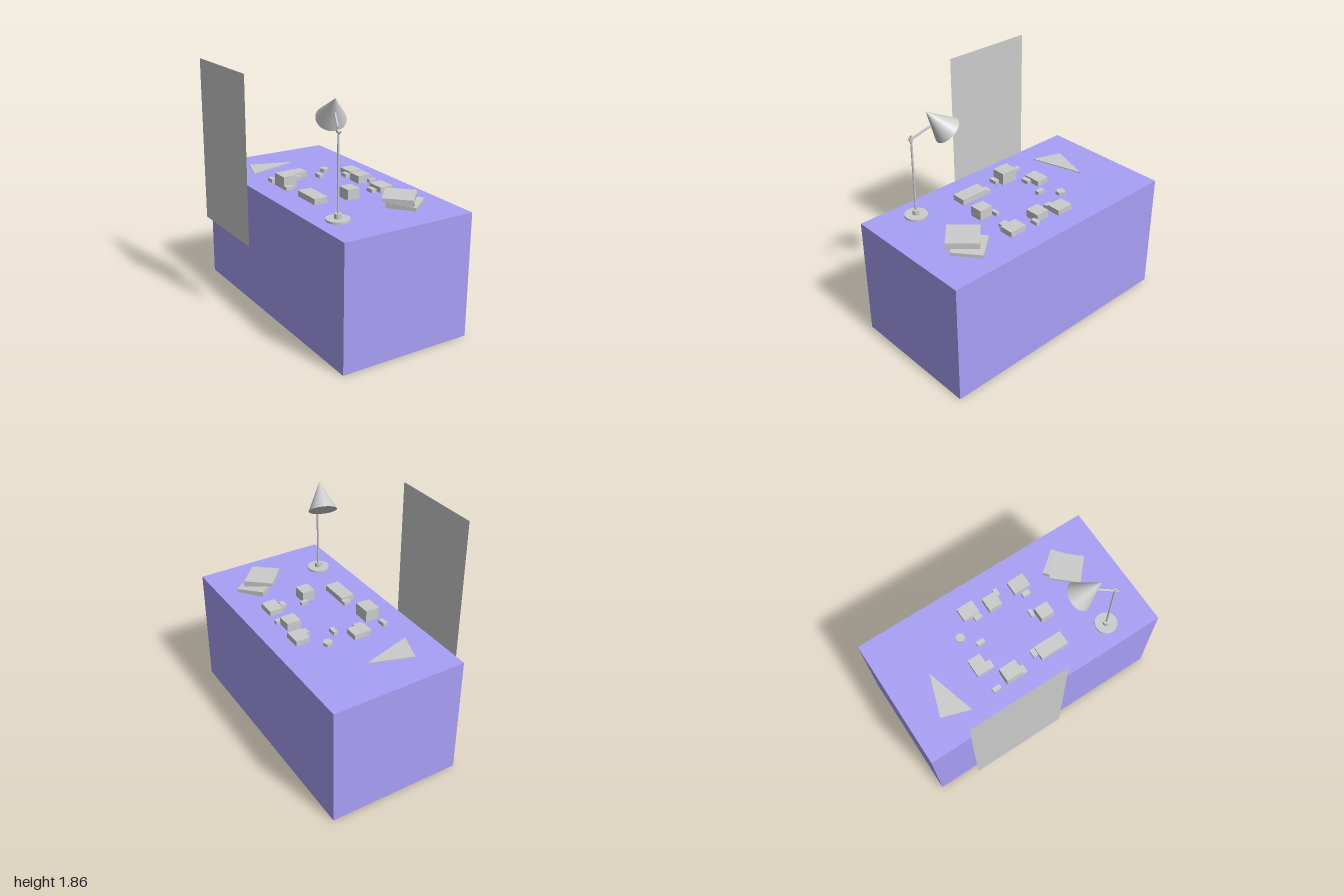
import * as THREE from 'three';

const TOP = 0.945; // table surface height

export function createModel() {
  const model = new THREE.Group();
  const grey = new THREE.MeshStandardMaterial({ color: 0xcccccc });
  const sheet = new THREE.MeshStandardMaterial({ color: 0xcccccc, side: THREE.DoubleSide });
  const violet = new THREE.MeshStandardMaterial({ color: 0xa89ff5 });

  const add = (name, geometry, parent = model, material = grey) => {
    const mesh = new THREE.Mesh(geometry, material);
    mesh.name = name;
    parent.add(mesh);
    return mesh;
  };
  // Box given by its extents in plan and its vertical range
  const block = (name, [x0, x1, z0, z1], y0, y1, parent, material) => {
    const mesh = add(name, new THREE.BoxGeometry(x1 - x0, y1 - y0, z1 - z0), parent, material);
    mesh.position.set((x0 + x1) / 2, (y0 + y1) / 2, (z0 + z1) / 2);
    return mesh;
  };
  // Cylinder (or cone) between two points
  const rod = (name, a, b, r0, r1, sides, parent) => {
    const from = new THREE.Vector3(...a), to = new THREE.Vector3(...b);
    const dir = to.clone().sub(from);
    const mesh = add(name, new THREE.CylinderGeometry(r1, r0, dir.length(), sides), parent);
    mesh.position.copy(from).add(to).multiplyScalar(0.5);
    mesh.quaternion.setFromUnitVectors(new THREE.Vector3(0, 1, 0), dir.normalize());
    return mesh;
  };

  // Table block and the upright panel beside it
  block('table', [-0.44, 0.605, -1, 1], 0, TOP, model, violet);
  const panel = add('sidePanel', new THREE.PlaneGeometry(0.73, 1.26), model, sheet);
  panel.rotation.y = -Math.PI / 2;
  panel.position.set(-0.605, 1.23, -0.365);

  // Desk lamp
  const lamp = new THREE.Group();
  lamp.name = 'lamp';
  model.add(lamp);
  const [lx, lz] = [-0.26, 0.645];
  rod('lampBase', [lx, TOP, lz], [lx, 0.96, lz], 0.085, 0.085, 32, lamp);
  rod('lampCollar', [lx, 0.96, lz], [lx, 0.995, lz], 0.026, 0.026, 24, lamp);
  rod('lampPole', [lx, 0.99, lz], [lx, 1.59, lz], 0.008, 0.008, 16, lamp);
  rod('lampPivot', [lx - 0.014, 1.56, lz], [lx + 0.012, 1.56, lz + 0.005], 0.013, 0.013, 16, lamp);
  rod('lampArm', [-0.269, 1.55, 0.665], [-0.197, 1.65, 0.5], 0.008, 0.008, 16, lamp);
  rod('lampShade', [-0.165, 1.582, 0.405], [-0.218, 1.75, 0.54], 0.107, 0, 48, lamp);

  // Scattered blocks: plan extents and top height
  const blocks = [
    [-0.09, 0.05, -0.385, -0.28, 0.987],
    [-0.255, -0.145, -0.235, -0.1, 1.04],
    [0.33, 0.44, -0.235, -0.1, 0.987],
    [0.29, 0.4, -0.035, 0.075, 1.005],
    [0.305, 0.415, 0.2, 0.34, 0.987],
    [0.01, 0.11, 0.245, 0.355, 1.025],
    [-0.24, -0.13, 0.08, 0.31, 0.99],
  ];
  const smallBlocks = [
    [-0.09, -0.025, -0.28, -0.24],
    [-0.255, -0.22, -0.35, -0.285],
    [-0.255, -0.19, -0.1, -0.06],
    [0.11, 0.145, -0.255, -0.19],
    [0.29, 0.33, -0.16, -0.1],
    [0.37, 0.43, 0.075, 0.11],
    [0.25, 0.29, 0.245, 0.31],
    [0.085, 0.145, 0.205, 0.235],
    [-0.19, -0.13, 0.04, 0.08],
  ];
  blocks.forEach((b) => block('block', b, TOP, b[4]));
  smallBlocks.forEach((b) => block('smallBlock', b, TOP, 0.973));

  // Six-sided token
  const token = rod('hexToken', [0.24, TOP, -0.33], [0.24, 0.973, -0.33], 0.037, 0.037, 6);
  token.material = new THREE.MeshStandardMaterial({ color: 0xcccccc, flatShading: true });
  token.rotation.y = 0.4;

  // Thin triangular plate lying flat (shape drawn in x, -z)
  const triangle = new THREE.Shape([[-0.195, 0.775], [-0.27, 0.55], [0.13, 0.665]]
    .map(([x, y]) => new THREE.Vector2(x, y)));
  const plate = add('triangularPlate',
    new THREE.ExtrudeGeometry(triangle, { depth: 0.008, bevelEnabled: false }));
  plate.rotation.x = -Math.PI / 2;
  plate.position.y = TOP;

  // Wedge-shaped binders: heights are [bottom, top] at the two long edges
  const binder = (name, x, z, angle, width, length, inner, outer) => {
    const group = new THREE.Group();
    group.name = name;
    group.position.set(x, 0, z);
    group.rotation.y = -angle;
    model.add(group);
    const w = width / 2;
    const profile = new THREE.Shape([
      new THREE.Vector2(-w, inner[0]), new THREE.Vector2(w, outer[0]),
      new THREE.Vector2(w, outer[1]), new THREE.Vector2(-w, inner[1]),
    ]);
    const body = new THREE.ExtrudeGeometry(profile, { depth: length, bevelEnabled: false });
    body.translate(0, 0, -length / 2);
    add('binderBody', body, group);
    return group;
  };
  binder('lowerBinder', 0.31, 0.63, 0.9, 0.217, 0.23, [TOP, 0.986], [TOP, 0.971]);
  const upper = binder('upperBinder', 0.2525, 0.6375, 0.74, 0.223, 0.237, [1.012, 1.038], [0.988, 1.034]);

  // Round studs at both ends of the upper binder's spine
  for (const s of [-1, 1]) {
    rod('spineStud', [0.108, 1.011, s * 0.095], [0.115, 1.011, s * 0.095], 0.02, 0.02, 20, upper);
  }
  return model;
}
